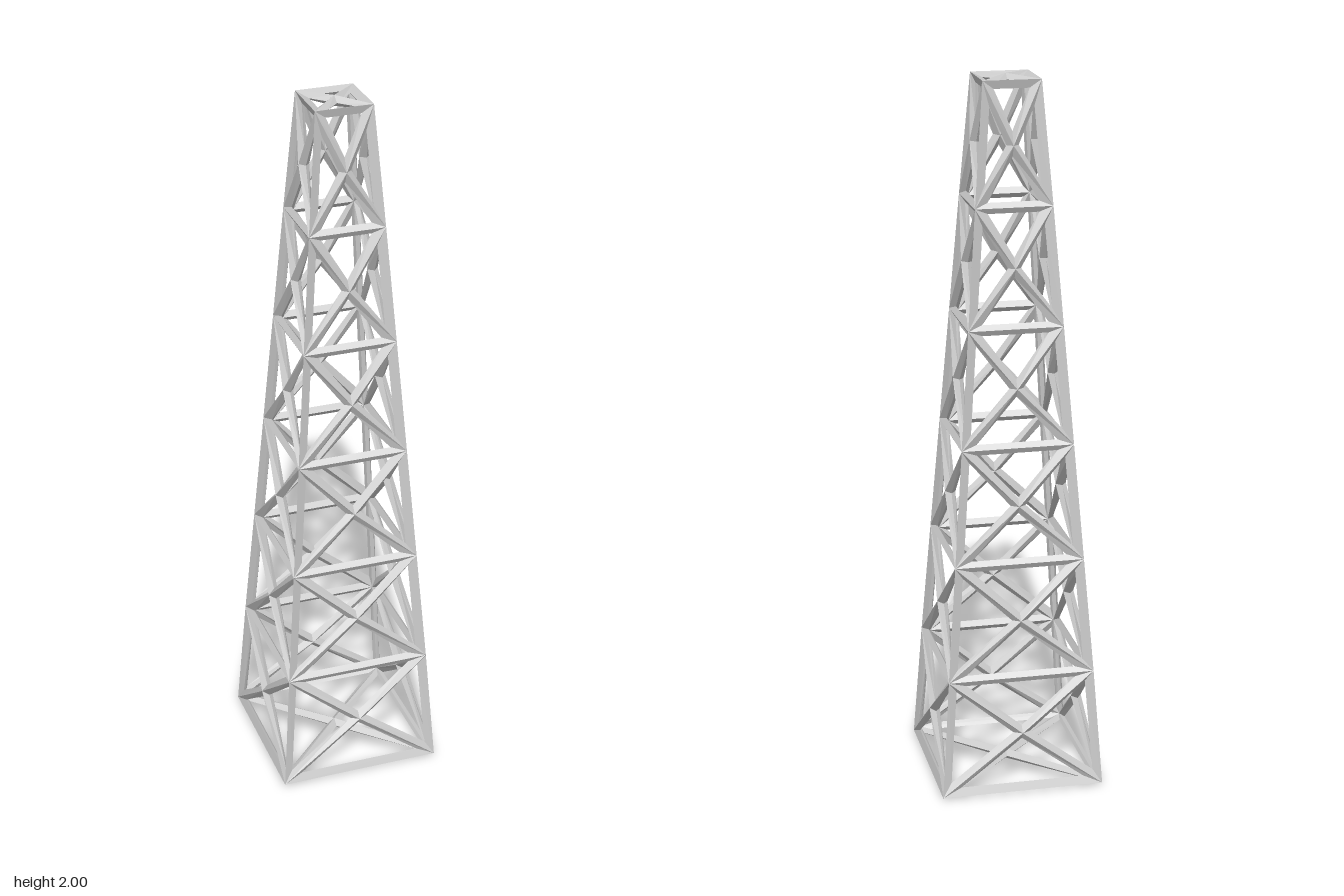
import * as THREE from 'three';

const LEVELS = 6;                 // storeys
const T = 0.015;                  // half thickness of a bar
const Y0 = T, Y1 = 2 - T;         // lowest and highest joints
const W0 = 0.2215, W1 = 0.0715;   // half widths at those joints
const CORNERS = [[-1, 1], [1, 1], [1, -1], [-1, -1]];

// Joint on a leg, with the direction in which its bars have their outer ridge
function legJoint(k, level) {
  const [sx, sz] = CORNERS[k % 4];
  const t = level / LEVELS;
  const w = W0 + (W1 - W0) * t;
  const ny = level === 0 ? -1 : level === LEVELS ? 1 : 0.1;
  return {
    p: new THREE.Vector3(sx * w, Y0 + (Y1 - Y0) * t, sz * w),
    n: new THREE.Vector3(sx, ny, sz).normalize(),
  };
}

// Point inside a triangle's corner, one bar half-width from both edges
function inset(p, q, r) {
  const u = q.clone().sub(p).normalize();
  const v = r.clone().sub(p).normalize();
  const halfAngle = u.angleTo(v) / 2;
  return u.add(v).normalize().multiplyScalar(T / Math.sin(halfAngle)).add(p);
}

function quad(out, a, b, c, d) {
  for (const v of [a, b, c, a, c, d]) out.push(v.x, v.y, v.z);
}

// Half bars, ridged outside and inside, around one triangular opening
function frameTriangle(out, joints) {
  const mid = joints.map((j, i) => inset(j.p, joints[(i + 1) % 3].p, joints[(i + 2) % 3].p));
  const outer = joints.map(j => j.p.clone().addScaledVector(j.n, T));
  const inner = joints.map(j => j.p.clone().addScaledVector(j.n, -T));
  for (let i = 0; i < 3; i++) {
    const k = (i + 1) % 3;
    quad(out, outer[i], outer[k], mid[k], mid[i]);
    quad(out, inner[i], mid[i], mid[k], inner[k]);
  }
}

// Four-sided panel with cross bracing, corners anticlockwise from outside
function bracedPanel(out, joints) {
  const p = new THREE.Vector3();
  joints.forEach(j => p.addScaledVector(j.p, 0.25));
  const n = joints[2].p.clone().sub(joints[0].p)
    .cross(joints[3].p.clone().sub(joints[1].p)).normalize();
  const centre = { p, n };
  joints.forEach((j, i) => frameTriangle(out, [j, joints[(i + 1) % 4], centre]));
}

export function createModel() {
  const tower = new THREE.Group();
  tower.name = 'latticeTower';
  const material = new THREE.MeshStandardMaterial({ color: 0xcccccc, flatShading: true });

  function addMesh(name, positions) {
    const geometry = new THREE.BufferGeometry();
    geometry.setAttribute('position', new THREE.Float32BufferAttribute(positions, 3));
    geometry.computeVertexNormals();
    const mesh = new THREE.Mesh(geometry, material);
    mesh.name = name;
    tower.add(mesh);
  }

  // Four tapering sides, each a stack of braced panels
  ['frontLattice', 'leftLattice', 'backLattice', 'rightLattice'].forEach((name, k) => {
    const out = [];
    for (let l = 0; l < LEVELS; l++) {
      bracedPanel(out, [legJoint(k, l), legJoint(k + 1, l), legJoint(k + 1, l + 1), legJoint(k, l + 1)]);
    }
    addMesh(name, out);
  });

  // Braced frames closing the top and the base
  const top = [], base = [];
  bracedPanel(top, [0, 1, 2, 3].map(k => legJoint(k, LEVELS)));
  bracedPanel(base, [3, 2, 1, 0].map(k => legJoint(k, 0)));
  addMesh('topFrame', top);
  addMesh('baseFrame', base);
  return tower;
}
